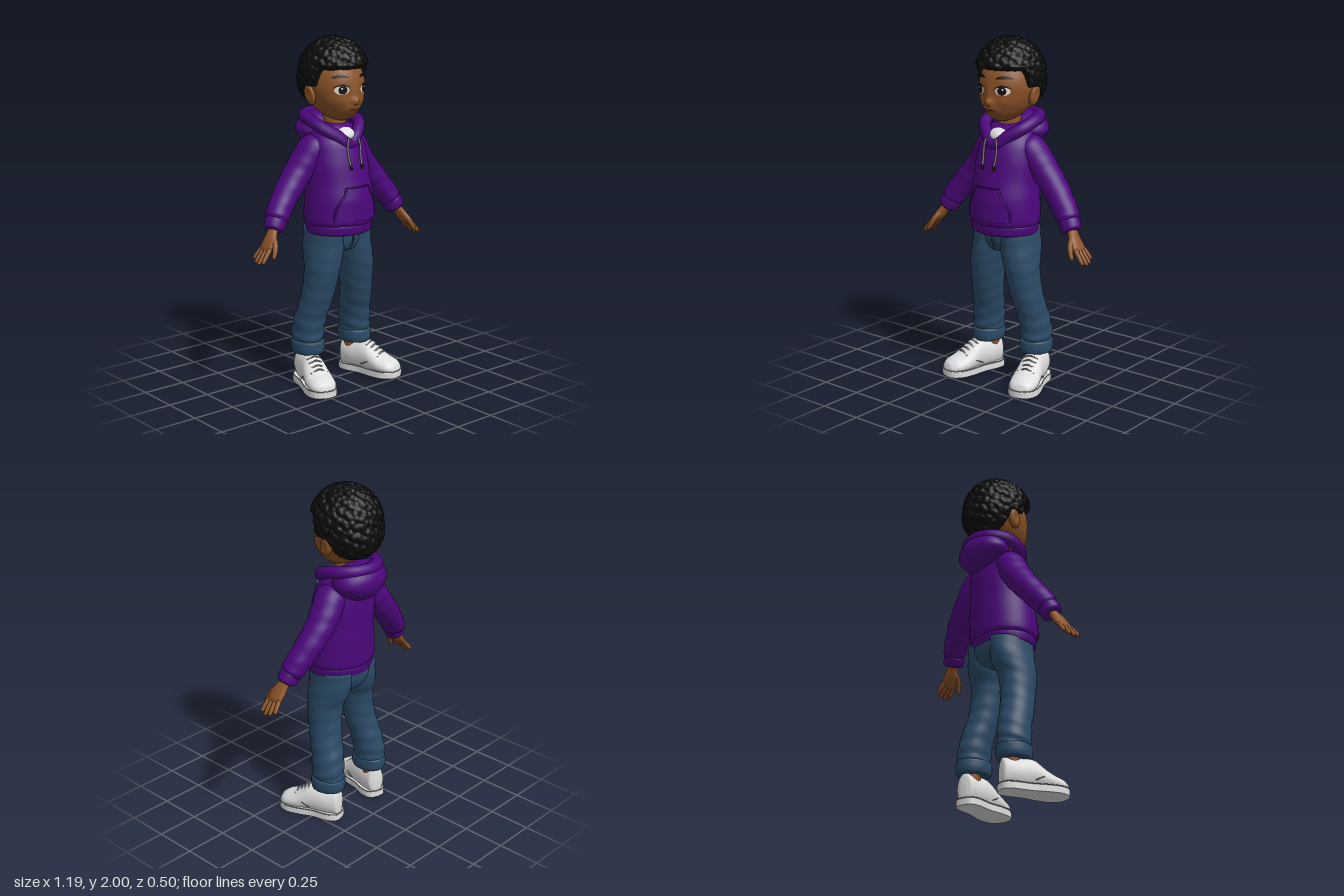
import * as THREE from 'three';
import { mergeVertices } from 'three/addons/utils/BufferGeometryUtils.js';

const V = (x, y, z) => new THREE.Vector3(x, y, z);
const smooth = THREE.MathUtils.smoothstep;
const mat = (name, color, side = THREE.FrontSide) => {
  const m = new THREE.MeshStandardMaterial({ color, side });
  m.name = name;
  return m;
};

// Smooth skin through elliptical rings [x, y, z, rx, rz]
function loft(rings, { seg = 32, dir = null, ref = V(0, 0, 1), steps = 4, fold = () => 1 } = {}) {
  const path = new THREE.CatmullRomCurve3(rings.map(r => V(r[0], r[1], r[2])));
  const size = new THREE.CatmullRomCurve3(rings.map(r => V(r[3], r[4], 0)));
  const n = (rings.length - 1) * steps, pos = [], idx = [];
  for (let i = 0; i <= n; i++) {
    const t = i / n, c = path.getPoint(t), s = size.getPoint(t);
    const T = dir || path.getTangent(t);
    const B = ref.clone().addScaledVector(T, -ref.dot(T)).normalize();
    const A = T.clone().cross(B);
    for (let j = 0; j < seg; j++) {
      const a = j / seg * Math.PI * 2, f = fold(t, a);
      const p = c.clone().addScaledVector(A, s.x * f * Math.cos(a)).addScaledVector(B, s.y * f * Math.sin(a));
      pos.push(p.x, p.y, p.z);
      if (i < n) {
        const k = i * seg + j, m = i * seg + (j + 1) % seg;
        idx.push(k, k + seg, m, m, k + seg, m + seg);
      }
    }
  }
  const first = pos.length / 3, top = n * seg;
  for (const r of [rings[0], rings[rings.length - 1]]) pos.push(r[0], r[1], r[2]);
  for (let j = 0; j < seg; j++) {
    const k = (j + 1) % seg;
    idx.push(first, j, k, first + 1, top + k, top + j);
  }
  const g = new THREE.BufferGeometry();
  g.setAttribute('position', new THREE.Float32BufferAttribute(pos, 3));
  g.setIndex(idx);
  g.computeVertexNormals();
  return g;
}

// Move every vertex of a geometry by a rule
function reshape(geo, rule) {
  geo.deleteAttribute('uv');
  geo.deleteAttribute('normal');
  const g = mergeVertices(geo, 1e-5), p = g.attributes.position, v = V();
  for (let i = 0; i < p.count; i++) {
    rule(v.fromBufferAttribute(p, i));
    p.setXYZ(i, v.x, v.y, v.z);
  }
  g.computeVertexNormals();
  return g;
}

const tube = (pts, r, closed = false, n = 24) =>
  new THREE.TubeGeometry(new THREE.CatmullRomCurve3(pts.map(p => V(...p)), closed), n, r, 8, closed);
const ball = (x, y, z, rx, ry, rz) => new THREE.SphereGeometry(1, 32, 20).scale(rx, ry, rz).translate(x, y, z);

// Head surface: ellipsoid with forward chin, nose and mouth
const bump = (x, y, cx, cy, w, h) => Math.exp(-(((x - cx) / w) ** 2) - ((y - cy) / h) ** 2);
const relief = (x, y) => 0.028 * bump(x, y, 0, 1.648, 0.026, 0.022) + 0.01 * bump(x, y, 0, 1.69, 0.016, 0.035)
  + 0.02 * bump(x, y, 0, 1.603, 0.05, 0.03) + 0.008 * bump(Math.abs(x), y, 0.085, 1.645, 0.04, 0.03);
function headPoint(v) {
  const t = Math.max(0, -v.y), c = v.z;
  v.set(0.165 * v.x * (1 - 0.12 * t), 1.72 + 0.19 * v.y, -0.02 + 0.18 * c + 0.06 * t * t);
  if (c > 0) v.z += relief(v.x, v.y) * smooth(c, 0, 0.4);
}
function faceZ(x, y) {
  const b = (y - 1.72) / 0.19, a = x / (0.165 * (1 - 0.12 * Math.max(0, -b)));
  const v = V(a, b, Math.sqrt(Math.max(0, 1 - a * a - b * b)));
  headPoint(v);
  return v.z;
}
// Oval painted onto the face
const patch = (cx, cy, rx, ry, lift, arch = 0) => reshape(new THREE.RingGeometry(0.001, 1, 28, 5), v => {
  const x = cx + rx * v.x, y = cy + ry * v.y - arch * v.x * v.x;
  v.set(x, y, faceZ(x, y) + lift);
});

const TORSO = [
  [0, 0.945, 0.02, 0.196, 0.168], [0, 0.975, 0.02, 0.211, 0.184], [0, 1.1, 0.017, 0.204, 0.184],
  [0, 1.2, 0.006, 0.195, 0.172], [0, 1.3, -0.004, 0.19, 0.165], [0, 1.4, -0.015, 0.178, 0.148],
  [0, 1.46, -0.025, 0.15, 0.122], [0, 1.5, -0.035, 0.115, 0.095], [0, 1.52, -0.04, 0.07, 0.06]];
function torsoZ(x, y) {
  let i = 0;
  while (i < TORSO.length - 2 && TORSO[i + 1][1] < y) i++;
  const [a, b] = [TORSO[i], TORSO[i + 1]], k = (y - a[1]) / (b[1] - a[1]);
  const [cz, rx, rz] = [2, 3, 4].map(n => a[n] + (b[n] - a[n]) * k);
  return cz + rz * Math.sqrt(Math.max(0, 1 - (x / rx) ** 2));
}

export function createModel() {
  const root = new THREE.Group();
  const skin = mat('brown skin', 0x8a5226), lip = mat('lip brown', 0x78421f, THREE.DoubleSide);
  const hair = mat('black hair', 0x0c0c0c), purple = mat('purple fleece', 0x4c067c, THREE.DoubleSide);
  const denim = mat('blue denim', 0x2b4a66), white = mat('white leather', 0xdedede);
  const grey = mat('grey cord', 0x8c8c90), eyeWhite = mat('eye white', 0xf0ece6), dark = mat('dark iris', 0x1a0e08);
  const add = (name, geo, m) => {
    const mesh = new THREE.Mesh(geo, m);
    mesh.name = name;
    root.add(mesh);
  };
  // Adds a left part and its mirror image
  const pair = (name, geo, m) => {
    add('left ' + name, geo, m);
    const g = geo.clone().scale(-1, 1, 1), ix = g.index;
    for (let i = 0; i < ix.count; i += 3) {
      const a = ix.getX(i);
      ix.setX(i, ix.getX(i + 2));
      ix.setX(i + 2, a);
    }
    add('right ' + name, g, m);
  };

  // Head and face
  add('head', reshape(new THREE.SphereGeometry(1, 96, 72), headPoint), skin);
  add('neck', new THREE.CylinderGeometry(0.06, 0.07, 0.2, 32).translate(0, 1.53, -0.025), skin);
  pair('ear', reshape(new THREE.SphereGeometry(1, 28, 20), v => {
    const dent = v.x > 0.3 ? 0.012 * bump(v.y, v.z, 0.1, 0.1, 0.5, 0.5) : 0;
    v.set(0.167 + 0.024 * v.x - dent + 0.008 * v.y, 1.68 + 0.057 * v.y, -0.032 + 0.038 * v.z - 0.008 * v.y);
  }), skin);
  pair('eye', patch(0.077, 1.713, 0.036, 0.025, 0.002), eyeWhite);
  pair('iris', patch(0.075, 1.714, 0.022, 0.024, 0.004), dark);
  pair('eye glint', patch(0.081, 1.722, 0.005, 0.005, 0.006), eyeWhite);
  pair('eyelid line', patch(0.078, 1.741, 0.04, 0.005, 0.005, 0.014), dark);
  pair('eyebrow', patch(0.078, 1.788, 0.042, 0.008, 0.004, 0.008), hair);
  pair('nostril', patch(0.012, 1.632, 0.006, 0.003, 0.002), dark);
  add('lips', patch(0, 1.602, 0.043, 0.014, 0.002), lip);
  add('mouth line', patch(0, 1.605, 0.042, 0.002, 0.004, -0.004), dark);

  // Curly hair: cells bulge around evenly spread points, tucked in below the hairline
  const curls = Array.from({ length: 420 }, (_, i) => {
    const y = 1 - 2 * (i + 0.5) / 420, r = Math.sqrt(1 - y * y), a = i * 2.39996 + 0.12 * Math.sin(i * 7.3);
    return V(r * Math.cos(a), y + 0.03 * Math.sin(i * 12.9), r * Math.sin(a)).normalize();
  });
  add('hair', reshape(new THREE.SphereGeometry(1, 170, 110), v => {
    let d = 9;
    for (const c of curls) d = Math.min(d, v.distanceToSquared(c));
    const puff = 0.955 + 0.055 * Math.sqrt(Math.max(0, 1 - d / 0.012));
    const back = v.z < 0 && v.y < 0 ? 1 + 0.16 * Math.min(1, -v.z * -v.y * 2) : 1;
    v.multiplyScalar(puff * back);
    const y = 1.795 + 0.203 * v.y, z = -0.028 + 0.21 * v.z;
    const line = 1.59 + 0.13 * smooth(z, -0.1, -0.05) + 0.115 * smooth(z, 0.02, 0.065);
    v.multiplyScalar(0.68 + 0.32 * smooth(y, line - 0.015, line + 0.012));
    v.set(0.197 * v.x, 1.795 + 0.203 * v.y, -0.028 + 0.21 * v.z);
  }), hair);

  // Hoodie body, waistband, hood and shirt
  add('hoodie body', loft(TORSO, { seg: 64, dir: V(0, 1, 0), fold: (t, a) => 1 + 0.006 * Math.sin(t * 22 + 3 * Math.cos(a)) }), purple);
  add('waistband', loft([[0, 0.895, 0.02, 0.185, 0.158], [0, 0.905, 0.02, 0.198, 0.17], [0, 0.945, 0.02, 0.203, 0.175],
    [0, 0.96, 0.02, 0.19, 0.165]], { seg: 96, dir: V(0, 1, 0), fold: (t, a) => 1 + 0.005 * Math.sin(a * 48) }), purple);
  const rim = [[0.075, 1.455, 0.085], [0.14, 1.505, 0.025], [0.152, 1.54, -0.07], [0.1, 1.55, -0.165]];
  const flip = p => [-p[0], p[1], p[2]];
  add('hood rim', tube([[0, 1.405, 0.112], ...rim, [0, 1.552, -0.2], ...rim.map(flip).reverse()], 0.036, true, 80), purple);
  add('hood', reshape(new THREE.SphereGeometry(1, 48, 32), v => {
    const w = 1 - 0.3 * Math.max(0, -v.y);
    v.set(0.178 * v.x * w, 1.465 + 0.115 * v.y, -0.125 + 0.125 * v.z - 0.012 * v.y);
  }), purple);
  add('shirt', ball(0, 1.445, 0.055, 0.075, 0.05, 0.07), white);

  // Front pocket and drawstrings
  const pocketHalf = y => 0.145 - 0.065 * smooth(y, 1.03, 1.17);
  add('front pocket', reshape(new THREE.PlaneGeometry(2, 1, 24, 12), v => {
    const y = 1.075 + 0.19 * v.y, x = v.x * pocketHalf(y);
    v.set(x, y, torsoZ(x, y) + 0.008);
  }), purple);
  const onTorso = (x, y, lift) => [x, y, torsoZ(x, y) + lift];
  pair('pocket edge', tube([0.985, 1.03, 1.08, 1.13, 1.17].map(y => onTorso(pocketHalf(y), y, 0.006)), 0.006), purple);
  add('pocket top seam', tube([-0.08, -0.04, 0, 0.04, 0.08].map(x => onTorso(x, 1.17, 0.006)), 0.005), purple);
  pair('drawstring', tube([[0.035, 1.445, 0.145], onTorso(0.045, 1.4, 0.022), onTorso(0.044, 1.34, 0.012),
    onTorso(0.04, 1.29, 0.012)], 0.006), grey);
  pair('drawstring tip', tube([onTorso(0.04, 1.295, 0.012), onTorso(0.04, 1.27, 0.012)], 0.008, false, 4), dark);

  // Sleeves and cuffs
  pair('sleeve', loft([[0.1, 1.415, -0.03, 0.06, 0.07], [0.14, 1.375, -0.038, 0.085, 0.092], [0.19, 1.31, -0.05, 0.083, 0.09],
    [0.24, 1.245, -0.055, 0.078, 0.084], [0.3, 1.175, -0.05, 0.075, 0.08], [0.365, 1.095, -0.035, 0.071, 0.073],
    [0.415, 1.03, -0.018, 0.068, 0.068], [0.43, 1.005, -0.012, 0.056, 0.058]],
  { steps: 6, fold: (t, a) => 1 + (0.008 + 0.02 * t * t) * Math.sin(t * 45 + 1.5 * Math.cos(a)) }), purple);
  pair('sleeve cuff', loft([[0.422, 1.015, -0.013, 0.05, 0.05], [0.43, 1.003, -0.01, 0.062, 0.06], [0.45, 0.968, -0.004, 0.06, 0.058],
    [0.456, 0.957, -0.002, 0.045, 0.045]], { seg: 48, fold: (t, a) => 1 + 0.012 * Math.sin(a * 24) }), purple);

  // Hands
  pair('palm', loft([[0.445, 0.98, -0.004, 0.024, 0.03], [0.47, 0.945, 0.006, 0.024, 0.036], [0.497, 0.905, 0.018, 0.024, 0.048],
    [0.525, 0.87, 0.022, 0.018, 0.05], [0.537, 0.853, 0.022, 0.008, 0.04]]), skin);
  [[0.058, 0.068, 0.9], [0.034, 0.036, 1], [0.01, 0.005, 0.94], [-0.013, -0.026, 0.76]].forEach(([z0, z1, len], i) => {
    const at = (k, r) => [0.522 + 0.068 * k * len, 0.875 - 0.083 * k * len, z0 + (z1 - z0) * k, r, r];
    pair('finger ' + (i + 1), loft([at(0, 0.013), at(0.4, 0.0135), at(0.75, 0.012), at(0.95, 0.009), at(1, 0.002)], { seg: 14 }), skin);
  });
  pair('thumb', loft([[0.48, 0.93, 0.03, 0.018, 0.018], [0.495, 0.895, 0.067, 0.017, 0.017], [0.51, 0.86, 0.085, 0.014, 0.014],
    [0.525, 0.83, 0.092, 0.011, 0.011], [0.529, 0.822, 0.093, 0.002, 0.002]], { seg: 16 }), skin);

  // Jeans
  add('jeans seat', loft([[0, 0.775, 0, 0.05, 0.06], [0, 0.8, 0, 0.12, 0.115], [0, 0.86, -0.004, 0.182, 0.14],
    [0, 0.93, -0.004, 0.186, 0.145]], { seg: 48, dir: V(0, 1, 0) }), denim);
  pair('jeans leg', loft([[0.178, 0.235, -0.05, 0.08, 0.092], [0.177, 0.3, -0.05, 0.088, 0.1], [0.166, 0.4, -0.036, 0.089, 0.098],
    [0.15, 0.5, -0.006, 0.09, 0.099], [0.136, 0.6, 0.012, 0.092, 0.104], [0.124, 0.7, 0.02, 0.097, 0.114],
    [0.105, 0.8, 0.004, 0.103, 0.137], [0.095, 0.92, 0, 0.095, 0.143]],
  { steps: 8, dir: V(0, 1, 0), fold: (t, a) => 1 + (0.008 + 0.035 * (1 - t) ** 3) * Math.sin(t * 52 + 2.5 * Math.sin(a + 0.6)) }), denim);
  pair('jeans cuff', loft([[0.178, 0.185, -0.05, 0.07, 0.08], [0.178, 0.19, -0.05, 0.086, 0.1], [0.178, 0.22, -0.05, 0.093, 0.107],
    [0.178, 0.255, -0.05, 0.092, 0.106], [0.178, 0.268, -0.05, 0.078, 0.09]],
  { dir: V(0, 1, 0), fold: (t, a) => 1 + 0.015 * Math.sin(3 * a + 1) }), denim);
  add('fly seam', tube([[0.0, 0.9, 0.146], [0.004, 0.85, 0.14], [0, 0.81, 0.118]], 0.005), denim);
  pair('ankle', new THREE.CylinderGeometry(0.05, 0.048, 0.14, 24).translate(0.175, 0.18, -0.065), skin);

  // Shoes, built along z and then turned outward
  const place = g => g.rotateY(0.29).translate(0.215, 0, 0.05);
  pair('shoe upper', place(loft([[0, 0.08, -0.192, 0.02, 0.04], [0, 0.1, -0.18, 0.05, 0.085], [0, 0.1, -0.11, 0.065, 0.09],
    [0, 0.103, -0.04, 0.069, 0.095], [0, 0.1, 0, 0.072, 0.09], [0, 0.08, 0.05, 0.079, 0.072], [0, 0.064, 0.1, 0.083, 0.056],
    [0, 0.055, 0.15, 0.076, 0.047], [0, 0.045, 0.185, 0.05, 0.033], [0, 0.035, 0.197, 0.015, 0.01]],
  { dir: V(0, 0, 1), ref: V(0, 1, 0), steps: 5 })), white);
  const half = [[0.045, -0.185], [0.066, -0.14], [0.066, -0.04], [0.082, 0.06], [0.082, 0.13], [0.055, 0.18]];
  const outline = [[0, -0.195], ...half, [0, 0.197], ...half.map(([x, z]) => [-x, z]).reverse()];
  const loop = new THREE.CatmullRomCurve3(outline.map(([x, z]) => V(x, -z, 0)), true).getPoints(60);
  const sole = new THREE.ExtrudeGeometry(new THREE.Shape(loop.slice(0, -1).reverse().map(p => new THREE.Vector2(p.x, p.y))),
    { depth: 0.03, bevelSize: 0.005, bevelThickness: 0.005, bevelSegments: 2 });
  pair('shoe sole', place(mergeVertices(sole.rotateX(-Math.PI / 2).translate(0, 0.005, 0))), white);
  pair('sole seam', place(tube(outline.map(([x, z]) => [x * 1.03, 0.042, z * 1.015]), 0.003, true, 60)), grey);
  const top = [[0.005, 0.187], [0.03, 0.17], [0.055, 0.15], [0.08, 0.134]];
  top.forEach(([z, y], i) => pair('lace ' + (i + 1), place(
    tube([[-0.042, y - 0.016, z - 0.006], [0, y + 0.003, z + 0.004], [0.042, y - 0.016, z - 0.006]], 0.005, false, 10)), grey));
  const seam = s => [[s * 0.045, 0.12, 0.085], [s * 0.068, 0.1, 0.055], [s * 0.076, 0.08, 0.02], [s * 0.071, 0.06, -0.02]];
  for (const s of [-1, 1]) pair('shoe side seam ' + (s > 0 ? 'outer' : 'inner'), place(tube(seam(s), 0.003)), grey);
  return root;
}
